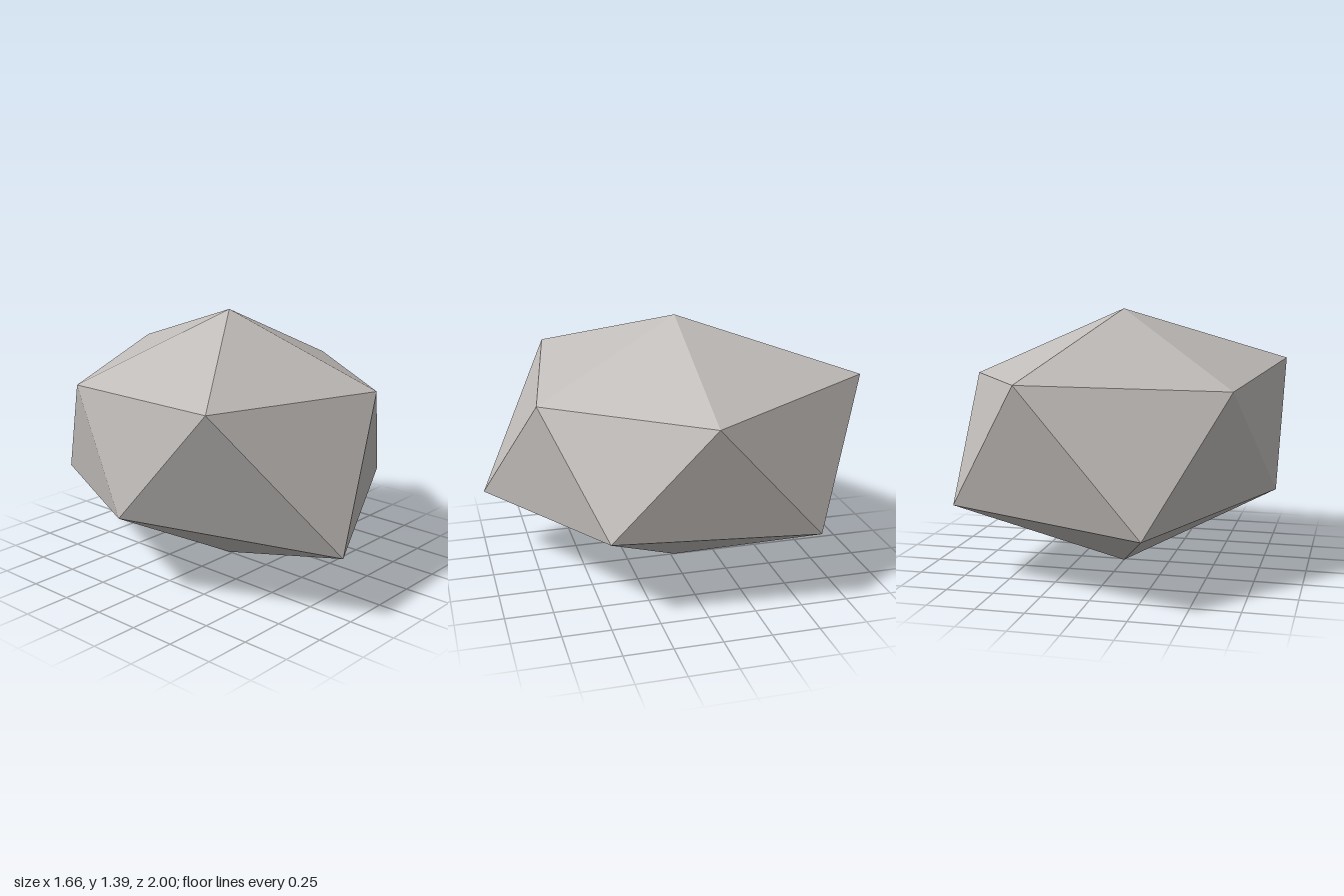
import * as THREE from 'three';

// Low-poly boulder: an irregular twenty-sided stone made of two poles and two rings of five.
export function createModel() {
  const top = [0, 1.39, -0.02];
  const bottom = [0, 0, -0.02];
  const upper = [
    [0.83, 1.025, -0.02], [0.255, 1.025, 0.76], [-0.82, 1.09, 0.57],
    [-0.66, 1.02, -0.5], [0.305, 1.08, -0.96],
  ];
  const lower = [
    [0.7, 0.435, 0.485], [-0.33, 0.36, 1], [-0.83, 0.445, -0.02],
    [-0.315, 0.38, -1], [0.77, 0.4, -0.585],
  ];

  // Cap, two side triangles and base for each fifth of the stone
  const corners = [];
  for (let i = 0; i < 5; i++) {
    const j = (i + 1) % 5;
    corners.push(
      top, upper[j], upper[i],
      upper[i], upper[j], lower[i],
      upper[j], lower[j], lower[i],
      lower[i], lower[j], bottom,
    );
  }
  const geometry = new THREE.BufferGeometry();
  geometry.setAttribute('position', new THREE.Float32BufferAttribute(corners.flat(), 3));
  geometry.computeVertexNormals();

  const stone = new THREE.MeshStandardMaterial({ color: 0xc0bcb9, flatShading: true });
  stone.name = 'pale stone grey';
  const boulder = new THREE.Mesh(geometry, stone);
  boulder.name = 'boulder';

  const group = new THREE.Group();
  group.name = 'rock';
  group.add(boulder);
  return group;
}
